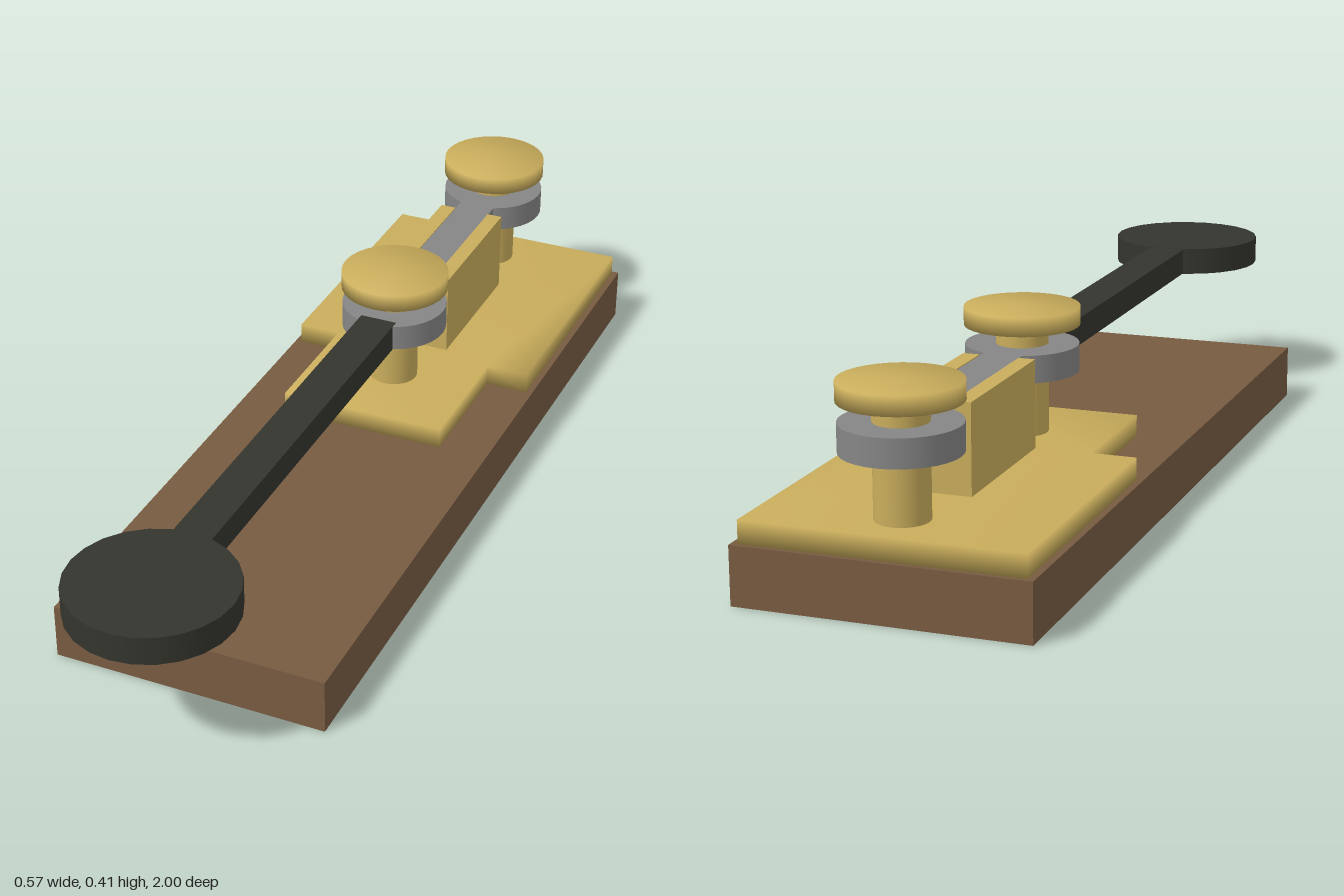
import * as THREE from 'three';
import { mergeVertices } from 'three/addons/utils/BufferGeometryUtils.js';

const material = (name, color) => {
  const m = new THREE.MeshStandardMaterial({ color });
  m.name = name;
  return m;
};

// Share normals across edges for the soft, cast-metal shading
function soften(geometry) {
  geometry.deleteAttribute('normal');
  geometry.deleteAttribute('uv');
  const merged = mergeVertices(geometry);
  merged.computeVertexNormals();
  return merged;
}

function outline(points) {
  return new THREE.Shape(points.map(([x, y]) => new THREE.Vector2(x, y)));
}

export function createModel() {
  const model = new THREE.Group();
  model.name = 'telegraphKey';
  const wood = material('wood', 0x785b42);
  const brass = material('brass', 0xc9ad5c);
  const steel = material('steel', 0x868686);
  const black = material('blackLever', 0x34352d);

  const add = (name, geometry, mat, x = 0, y = 0, z = 0) => {
    const mesh = new THREE.Mesh(geometry, mat);
    mesh.name = name;
    mesh.position.set(x, y, z);
    model.add(mesh);
    return mesh;
  };
  // Box spanning y0..y1 and z0..z1, centred on x
  const slab = (name, width, y0, y1, z0, z1, mat) =>
    add(name, new THREE.BoxGeometry(width, y1 - y0, z1 - z0), mat, 0, (y0 + y1) / 2, (z0 + z1) / 2);
  // Upright disc spanning y0..y1
  const disc = (name, r, y0, y1, z, mat, sides = 32, soft = false) => {
    const g = new THREE.CylinderGeometry(r, r, y1 - y0, sides);
    return add(name, soft ? soften(g) : g, mat, 0, (y0 + y1) / 2, z);
  };

  // Wooden base
  slab('base', 0.573, 0, 0.115, -1, 0.715, wood);

  // Stepped brass plate; shape y is -z
  const plate = new THREE.ExtrudeGeometry(outline([
    [-0.181, 0.11], [0.181, 0.11], [0.181, 0.395], [0.273, 0.395],
    [0.273, 0.99], [-0.273, 0.99], [-0.273, 0.395], [-0.181, 0.395],
  ]), { depth: 0.045, bevelEnabled: false });
  plate.rotateX(-Math.PI / 2);
  add('plate', soften(plate), brass, 0, 0.115, 0);

  // Saddle block slotted for the lever
  const saddle = new THREE.ExtrudeGeometry(outline([
    [-0.074, 0.165], [0.074, 0.165], [0.074, 0.342], [0.04, 0.342],
    [0.04, 0.285], [-0.04, 0.285], [-0.04, 0.342], [-0.074, 0.342],
  ]), { depth: 0.33, bevelEnabled: false });
  add('saddle', saddle, brass, 0, 0, -0.745);

  // Two binding posts with collars and knobs
  for (const [name, z] of [['front', -0.288], ['rear', -0.887]]) {
    disc(name + 'Post', 0.052, 0.16, 0.38, z, brass);
    disc(name + 'Collar', 0.113, 0.285, 0.34, z, steel);
    disc(name + 'Knob', 0.115, 0.378, 0.415, z, brass, 32, true);
  }

  // Lever: steel link behind, black arm and finger disc in front
  slab('steelLink', 0.08, 0.285, 0.34, -0.82, -0.35, steel);
  slab('leverArm', 0.08, 0.284, 0.341, -0.2, 0.72, black);
  disc('fingerDisc', 0.166, 0.283, 0.342, 0.834, black, 24);

  return model;
}
